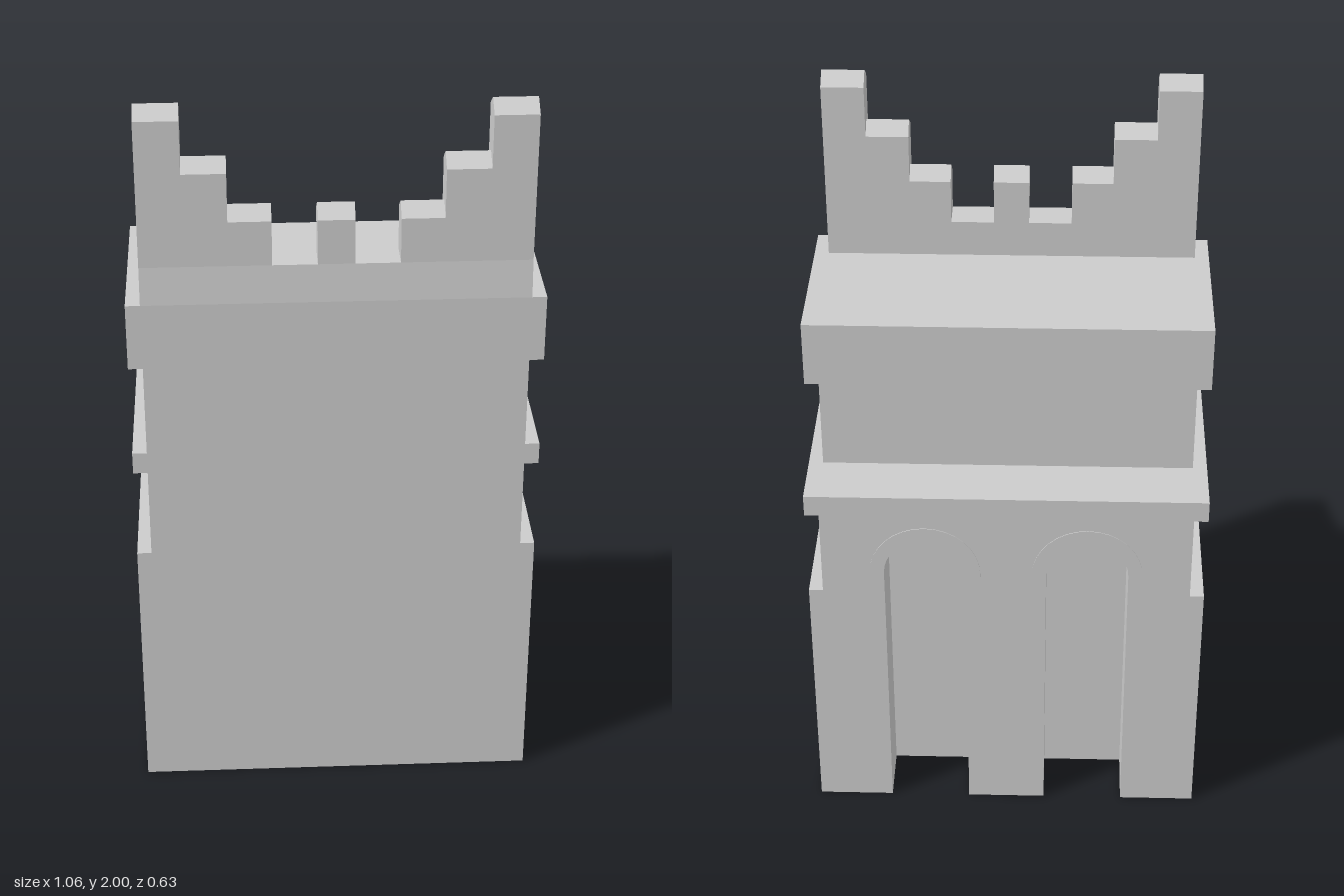
import * as THREE from 'three';

const W = 0.532;      // half width of the side bands
const C = 0.494;      // half width of the core
const F = 0.315;      // front plane; the lower back is at -F
const UB = -0.157;    // back plane of the upper storey and of the niches
const LEDGE = 1.05, ROOF = 1.48;

const mat = new THREE.MeshStandardMaterial({ color: 0xcccccc, flatShading: true, side: THREE.DoubleSide });

function add(group, name, geometry) {
  const mesh = new THREE.Mesh(geometry, mat);
  mesh.name = name;
  group.add(mesh);
  return mesh;
}

// Open ribbon: a line of points swept between two positions given by place(point, side)
function ribbon(points, place) {
  const pos = [], index = [];
  points.forEach((p, i) => {
    pos.push(...place(p, 0), ...place(p, 1));
    if (i > 0) {
      const a = 2 * i - 2;
      index.push(a, a + 2, a + 1, a + 1, a + 2, a + 3);
    }
  });
  const g = new THREE.BufferGeometry();
  g.setAttribute('position', new THREE.Float32BufferAttribute(pos, 3));
  g.setIndex(index);
  const flat = g.toNonIndexed();
  flat.computeVertexNormals();
  return flat;
}

// Solid with a (z, y) profile running along x from x0 to x1
function alongX(profile, x0, x1) {
  const shape = new THREE.Shape(profile.map(([z, y]) => new THREE.Vector2(z, y)));
  const g = new THREE.ExtrudeGeometry(shape, { depth: x1 - x0, bevelEnabled: false });
  g.rotateY(-Math.PI / 2);
  g.translate(x1, 0, 0);
  return g;
}

// Round-headed arch outline, from the left foot over the top to the right foot
function archPoints(cx, r, foot, spring, segments = 16) {
  const pts = [new THREE.Vector2(cx - r, foot)];
  for (let i = 0; i <= segments; i++) {
    const a = Math.PI * (1 - i / segments);
    pts.push(new THREE.Vector2(cx + r * Math.cos(a), spring + r * Math.sin(a)));
  }
  pts.push(new THREE.Vector2(cx + r, foot));
  return pts;
}

export function createModel() {
  const model = new THREE.Group();
  model.name = 'steppedGateTower';

  // Hollow core, open underneath: front, roof, upper back and ledge in one skin
  const outline = [[F, 0], [F, ROOF], [UB, ROOF], [UB, LEDGE], [-F, LEDGE]];
  add(model, 'coreSkin', ribbon(outline, ([z, y], s) => [s ? C : -C, y, z]));

  // Core side walls
  const sideShape = new THREE.Shape([...outline, [-F, 0]].map(([z, y]) => new THREE.Vector2(z, y)));
  for (const s of [-1, 1]) {
    const g = new THREE.ShapeGeometry(sideShape);
    g.rotateY(-Math.PI / 2);
    add(model, 'coreSide', g).position.x = s * C;
  }

  // Back wall with two arched openings
  const centres = [-0.217, 0.217];
  const R = 0.11, SPRING = 0.805;
  const arches = centres.map((cx) => archPoints(cx, R, 0, SPRING));
  const backShape = new THREE.Shape([
    new THREE.Vector2(-C, 0), ...arches[0], ...arches[1],
    new THREE.Vector2(C, 0), new THREE.Vector2(C, LEDGE), new THREE.Vector2(-C, LEDGE),
  ]);
  const back = new THREE.ShapeGeometry(backShape);
  back.rotateY(Math.PI);
  add(model, 'backWall', back).position.z = -F;

  // Niches and the thin mouldings around their heads
  arches.forEach((pts, i) => {
    add(model, 'nicheReveal', ribbon(pts, (p, s) => [p.x, p.y, s ? UB : -F]));
    const panel = new THREE.ShapeGeometry(new THREE.Shape(pts));
    panel.rotateY(Math.PI);
    panel.scale(1, 1, 1);
    add(model, 'nichePanel', panel).position.z = UB;

    const ring = new THREE.Shape([
      ...archPoints(centres[i], 0.148, 0.74, SPRING),
      ...archPoints(centres[i], R, 0.74, SPRING).reverse(),
    ]);
    const moulding = new THREE.ExtrudeGeometry(ring, { depth: 0.002, bevelEnabled: false });
    add(model, 'archMoulding', moulding).position.z = -F - 0.002;
  });

  // Projecting bands on both sides: [bottom, top, back plane]
  const bands = [[0, 0.74, -F], [0.99, LEDGE, -F], [1.3, ROOF, UB]];
  for (const [y0, y1, zb] of bands) {
    for (const s of [-1, 1]) {
      const band = add(model, 'sideBand', new THREE.BoxGeometry(W - C, y1 - y0, F - zb));
      band.position.set(s * (W + C) / 2, (y0 + y1) / 2, (F + zb) / 2);
    }
  }

  // Stepped parapet: gabled merlons rising from a sloped foot, [x0, x1, top]
  const FOOT = 1.58, ZF = 0.304, ZB = 0.217, RIDGE = 0.26;
  const parapet = new THREE.Group();
  parapet.name = 'parapet';
  model.add(parapet);
  const foot = [[F, ROOF], [ZF, FOOT], [ZB, FOOT], [ZB, ROOF]];
  add(parapet, 'parapetFoot', alongX(foot, -C, C));
  const steps = [[0.382, C, 2], [0.27, 0.382, 1.86], [0.161, 0.27, 1.73]];
  const merlons = [[-0.047, 0.047, 1.73]];
  for (const [a, b, top] of steps) merlons.push([a, b, top], [-b, -a, top]);
  for (const [a, b, top] of merlons) {
    const eave = top - 0.03;
    const profile = [[ZF, FOOT], [ZF, eave], [RIDGE, top], [ZB, eave], [ZB, FOOT]];
    add(parapet, 'merlon', alongX(profile, a, b));
  }
  return model;
}
